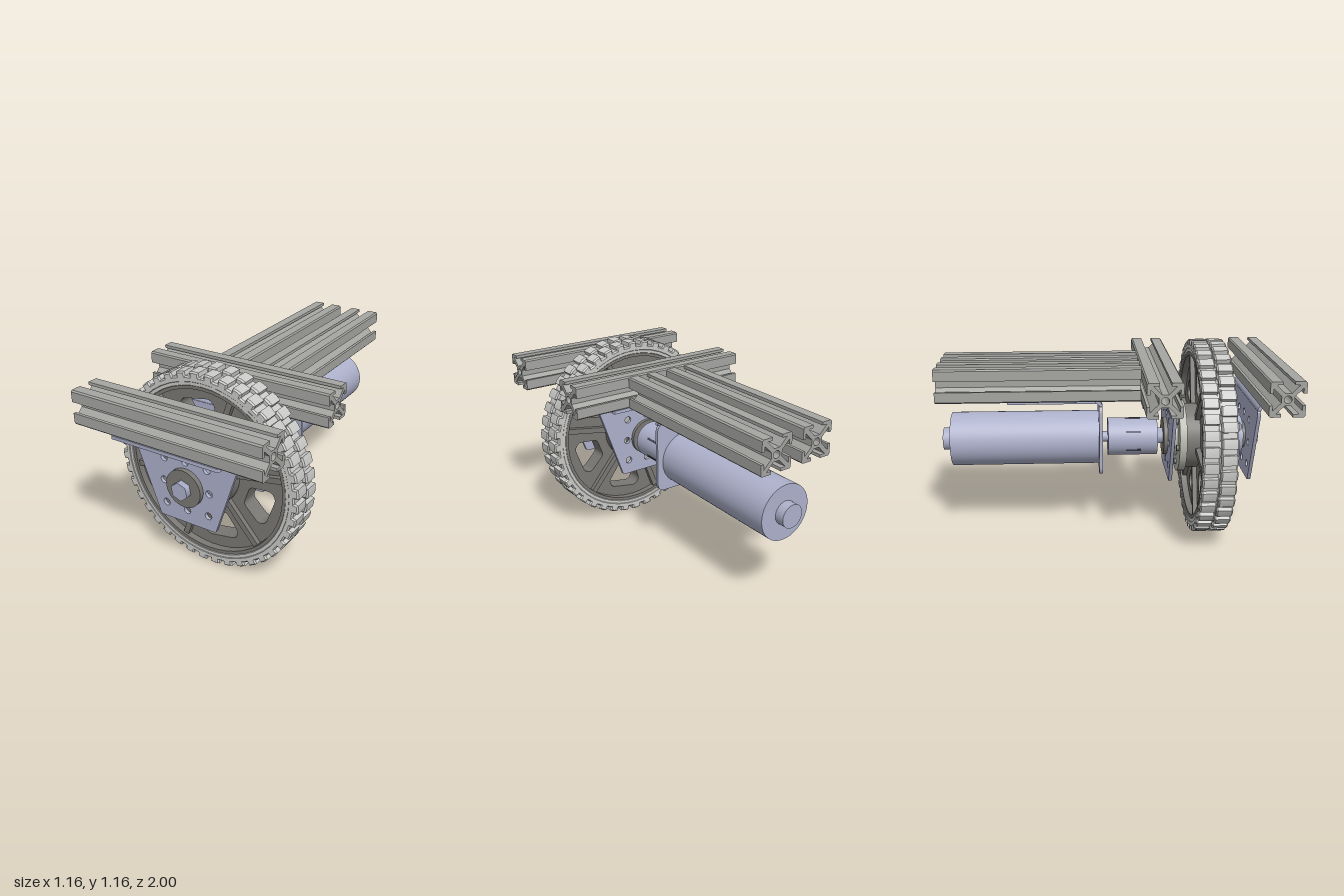
import * as THREE from 'three';
import { toCreasedNormals } from 'three/addons/utils/BufferGeometryUtils.js';

const mat = (name, color) => Object.assign(new THREE.MeshStandardMaterial({ color }), { name });

export function createModel() {
  const model = new THREE.Group();
  const tyreGrey = mat('tyreGrey', 0xcacac8);
  const railGrey = mat('railGrey', 0xa5a5a2);
  const hubGrey = mat('hubGrey', 0x7a7874);
  const steelBlue = mat('steelBlue', 0xadb1cb);
  const paleMetal = mat('paleMetal', 0xb9b9b0);
  const slotDark = mat('slotDark', 0x45465a);
  const AXLE = 0.583;

  // Helpers
  const add = (name, geo, material, x = 0, y = 0, z = 0, parent = model) => {
    const m = new THREE.Mesh(geo, material);
    m.name = name;
    m.position.set(x, y, z);
    parent.add(m);
    return m;
  };
  const extrude = (shape, depth, bevel = 0) => toCreasedNormals(new THREE.ExtrudeGeometry(shape, {
    depth: depth - 2 * bevel, curveSegments: 24, bevelEnabled: bevel > 0,
    bevelSize: bevel, bevelThickness: bevel, bevelOffset: -bevel, bevelSegments: 1,
  }).translate(0, 0, bevel), 0.5);
  const polygon = pts => new THREE.Shape(pts.map(p => new THREE.Vector2(p[0], p[1])));
  const circle = (x, y, r) => new THREE.Path().absarc(x, y, r, 0, Math.PI * 2, true);
  const ring = (r, hole) => {
    const s = new THREE.Shape().absarc(0, 0, r, 0, Math.PI * 2, false);
    s.holes.push(circle(0, 0, hole));
    return s;
  };
  // Closed outline with rounded corners
  const rounded = (pts, radius, Kind = THREE.Shape) => {
    const v = pts.map(p => new THREE.Vector2(p[0], p[1]));
    const s = new Kind();
    v.forEach((c, i) => {
      const prev = v[(i + v.length - 1) % v.length], next = v[(i + 1) % v.length];
      const a = c.clone().add(prev.clone().sub(c).setLength(radius));
      const b = c.clone().add(next.clone().sub(c).setLength(radius));
      if (i) s.lineTo(a.x, a.y); else s.moveTo(a.x, a.y);
      s.quadraticCurveTo(c.x, c.y, b.x, b.y);
    });
    s.closePath();
    return s;
  };
  // Cylinder along z on the axle line
  const cyl = (name, r, z0, z1, material, sides = 48) =>
    add(name, new THREE.CylinderGeometry(r, r, z1 - z0, sides).rotateX(Math.PI / 2), material, 0, AXLE, (z0 + z1) / 2);

  // Slotted rails
  const H = 0.0975, railPts = [];
  const side = [[H, -H + 0.008], [H, -0.032], [0.08, -0.032], [0.08, -0.062], [0.035, -0.018],
    [0.035, 0.018], [0.08, 0.062], [0.08, 0.032], [H, 0.032], [H, H - 0.008]];
  for (let k = 0; k < 4; k++) {
    const c = Math.round(Math.cos(k * Math.PI / 2)), s = Math.round(Math.sin(k * Math.PI / 2));
    side.forEach(([x, y]) => railPts.push([c * x - s * y, s * x + c * y]));
  }
  const railShape = polygon(railPts);
  railShape.holes.push(circle(0, 0, 0.021));
  const crossRail = extrude(railShape, 1.16).translate(0, 0, -0.58).rotateY(Math.PI / 2);
  add('frontRail', crossRail, railGrey, 0, 0.968, 0.9025);
  add('innerRail', crossRail, railGrey, 0, 0.968, 0.258);
  const longRail = extrude(railShape, 1.162);
  for (const s of [-1, 1]) add(s < 0 ? 'rightLongRail' : 'leftLongRail', longRail, railGrey, s * 0.135, 0.963, -1);

  // Bent sheet bracket: upright face, rounded bend and top flange running along dir
  const T = 0.02, R = 0.04;
  const bracket = (name, face, zOut, dir, top, halfW, reach, holes) => {
    const g = new THREE.Group();
    g.name = name;
    model.add(g);
    add('upright', extrude(face, T), steelBlue, 0, 0, dir > 0 ? zOut : zOut - T, g);
    const cz = zOut + dir * R, a0 = dir > 0 ? Math.PI : 0;
    const bend = new THREE.Shape();
    bend.absarc(cz, top - R, R, a0, Math.PI / 2, dir > 0);
    bend.absarc(cz, top - R, R - T, Math.PI / 2, a0, dir < 0);
    add('bend', extrude(bend, halfW * 2).translate(0, 0, -halfW).rotateY(-Math.PI / 2), steelBlue, 0, 0, 0, g);
    const flange = rounded([[-halfW, -cz], [halfW, -cz], [halfW, -reach], [-halfW, -reach]], 0.012);
    flange.holes.push(...holes);
    add('flange', extrude(flange, T).rotateX(-Math.PI / 2), steelBlue, 0, top - T, 0, g);
  };

  // Axle plates either side of the wheel
  const plate = rounded([[-0.335, 0.83], [-0.335, 0.8], [-0.18, 0.357], [0.18, 0.357], [0.335, 0.8], [0.335, 0.83]], 0.012);
  for (const i of [-1, 0, 1]) for (const j of [-1, 0, 1]) {
    if (!i && !j) continue;
    const d = i && j ? 0.137 : 0.146;
    plate.holes.push(circle(i * d, AXLE + j * d, 0.021));
  }
  plate.holes.push(circle(0, AXLE, 0.08));
  for (const [name, z, dir] of [['frontAxlePlate', 0.807, 1], ['innerAxlePlate', 0.355, -1]]) {
    const holes = [-0.25, -0.085, 0.085, 0.25].map(x => circle(x, -(z + dir * 0.1), 0.018));
    bracket(name, plate, z, dir, 0.872, 0.335, z + dir * 0.192, holes);
  }

  // Motor bracket with mounting slots
  const motorFace = rounded([[-0.195, 0.828], [-0.195, 0.405], [0.195, 0.405], [0.195, 0.828]], 0.05);
  const slots = [];
  for (const x of [-0.135, 0.135]) for (const z of [-0.2, -0.5])
    slots.push(rounded([[x - 0.015, -z - 0.045], [x + 0.015, -z - 0.045], [x + 0.015, -z + 0.045], [x - 0.015, -z + 0.045]], 0.014, THREE.Path));
  bracket('motorBracket', motorFace, -0.056, -1, 0.866, 0.195, -0.6, slots);

  // Motor, shafts and coupler
  cyl('motorBody', 0.16, -0.945, -0.076, steelBlue, 64);
  cyl('motorEndCap', 0.067, -1, -0.945, steelBlue);
  cyl('motorShaft', 0.031, -0.08, 0, steelBlue);
  cyl('coupler', 0.113, -0.02, 0.275, steelBlue);
  cyl('axle', 0.054, 0.27, 0.89, steelBlue, 6).rotation.z = 0.17;
  for (let k = 0; k < 6; k++) {
    const a = Math.PI / 6 + k * Math.PI / 3;
    const slot = add('couplerSlot', new THREE.BoxGeometry(0.006, 0.012, 0.09), slotDark,
      0.112 * Math.cos(a), AXLE + 0.112 * Math.sin(a), 0.13);
    slot.rotation.z = a;
  }

  // Bearings through the plates
  cyl('frontBearingFlange', 0.11, 0.827, 0.855, hubGrey);
  cyl('frontBearingBody', 0.079, 0.785, 0.83, hubGrey);
  cyl('innerBearingFlange', 0.113, 0.312, 0.335, hubGrey);
  cyl('innerBearingBody', 0.113, 0.355, 0.377, hubGrey);

  // Clamping collar with screws
  cyl('shaftCollar', 0.118, 0.705, 0.785, steelBlue);
  const screw = new THREE.CylinderGeometry(0.03, 0.03, 0.05, 20);
  for (const s of [-1, 1]) {
    add('collarScrew', screw, steelBlue, s * 0.08, AXLE + s * 0.085, 0.745);
    add('collarScrew', screw, steelBlue, s * 0.085, AXLE - s * 0.08, 0.745).rotation.z = Math.PI / 2;
  }

  // Tyre: two staggered rows of lugs around a carcass
  const LUGS = 40, pitch = Math.PI * 2 / LUGS;
  const tread = offset => {
    const pts = [];
    for (let k = 0; k < LUGS; k++)
      for (const [f, r] of [[0, 0.556], [0.34, 0.556], [0.36, 0.58], [0.68, 0.582], [0.98, 0.58]]) {
        const a = (k + f + offset) * pitch;
        pts.push([r * Math.cos(a), r * Math.sin(a)]);
      }
    const s = polygon(pts);
    s.holes.push(circle(0, 0, 0.52));
    return s;
  };
  add('frontTread', extrude(tread(-0.17), 0.094, 0.008), tyreGrey, 0, AXLE, 0.57);
  add('backTread', extrude(tread(0.33), 0.094, 0.008), tyreGrey, 0, AXLE, 0.472);
  add('tyreCarcass', extrude(ring(0.555, 0.503), 0.186, 0.004), tyreGrey, 0, AXLE, 0.475);

  // Wheel: rim, web with six rounded openings, and ribs between them
  add('rim', extrude(ring(0.506, 0.485), 0.18), hubGrey, 0, AXLE, 0.478);
  const web = ring(0.49, 0.1);
  const rotate = (pts, a) => pts.map(([x, y]) => [x * Math.cos(a) - y * Math.sin(a), x * Math.sin(a) + y * Math.cos(a)]);
  const opening = [[0.255, -0.06], [0.375, -0.118], [0.415, -0.09], [0.415, 0.09], [0.375, 0.118], [0.255, 0.06]];
  const rib = new THREE.BoxGeometry(0.32, 0.034, 0.156);
  for (let k = 0; k < 6; k++) {
    const a = THREE.MathUtils.degToRad(40 + k * 60), b = a - Math.PI / 6;
    web.holes.push(rounded(rotate(opening, a), 0.024, THREE.Path));
    add('wheelRib', rib, hubGrey, 0.33 * Math.cos(b), AXLE + 0.33 * Math.sin(b), 0.567).rotation.z = b;
  }
  add('wheelWeb', extrude(web, 0.1), hubGrey, 0, AXLE, 0.517);

  // Hub and its side discs
  cyl('hub', 0.195, 0.437, 0.7, hubGrey);
  cyl('hubDisc', 0.215, 0.394, 0.437, paleMetal);
  cyl('hubSpacer', 0.12, 0.377, 0.394, paleMetal);
  const bolt = new THREE.CylinderGeometry(0.018, 0.018, 0.02, 12).rotateX(Math.PI / 2);
  for (let k = 0; k < 6; k++) {
    const a = Math.PI / 18 + k * Math.PI / 3;
    for (const z of [0.39, 0.702]) add('hubBolt', bolt, hubGrey, 0.158 * Math.cos(a), AXLE + 0.158 * Math.sin(a), z);
  }
  return model;
}
